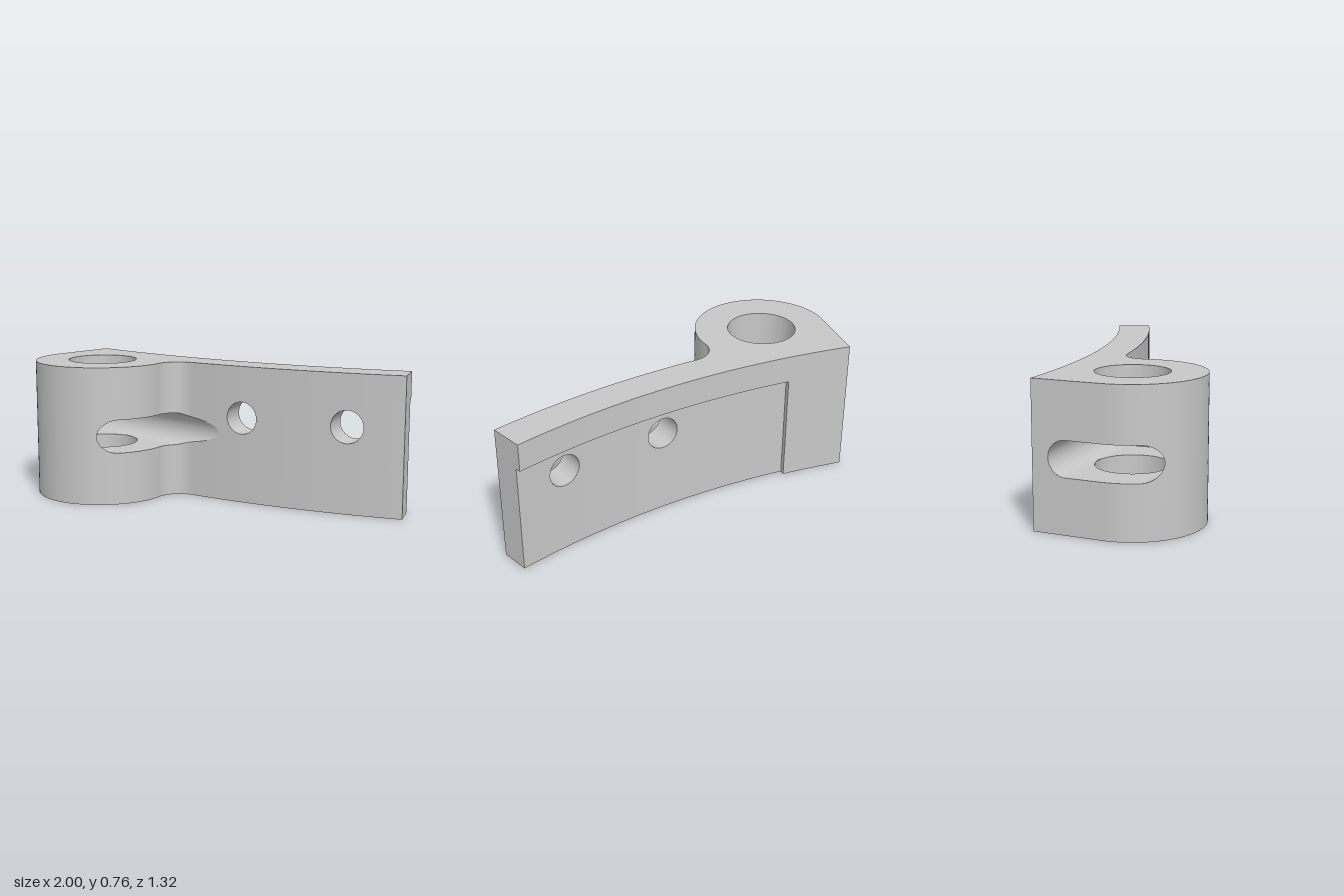
import * as THREE from 'three';
import { toCreasedNormals } from 'three/addons/utils/BufferGeometryUtils.js';

const H = 0.765, STEP = 0.612;            // full height, top of the rear recess
const BOSS = [-0.586, 0.281];             // centre of the round boss, as [x, z]
const ARM = [-1.38, -4.457];              // centre of the arm's curvature
const BACK = 4.427, RECESS = 4.457, FRONT = 4.617;
const T0 = 0.086, TS = 0.168, T1 = 0.541; // arm angles: start, recess start, tip

// Points along an arc; angles run from +x towards +z
function arc(c, r, a0, a1, n) {
  return Array.from({ length: n + 1 }, (_, i) => {
    const a = a0 + (a1 - a0) * i / n;
    return [c[0] + r * Math.cos(a), c[1] + r * Math.sin(a)];
  });
}
const armArc = (r, t0, t1, n = 32) => arc(ARM, r, Math.PI / 2 - t0, Math.PI / 2 - t1, n);

// Horizontal cutouts: centre, sideways direction v, half length of the flat part, radius, height
function makeCut(c, v, flat, r, y) {
  const samples = [];
  for (let i = 0; i <= 14; i++) samples.push(-flat - r * Math.cos(i / 14 * Math.PI / 2));
  if (flat) for (let i = 1; i < 50; i++) samples.push(-flat + 2 * flat * i / 50);
  for (let i = flat ? 0 : 1; i <= 14; i++) samples.push(flat + r * Math.sin(i / 14 * Math.PI / 2));
  const u = [v[1], -v[0]];
  return {
    c, v, u, y, samples, reach: flat + r, isSlot: flat > 0,
    off: p => (p[0] - c[0]) * v[0] + (p[1] - c[1]) * v[1],
    along: p => (p[0] - c[0]) * u[0] + (p[1] - c[1]) * u[1],
    half: o => Math.sqrt(Math.max(0, r * r - Math.max(0, Math.abs(o) - flat) ** 2)),
  };
}
const slot = makeCut(BOSS, [0.0985, 0.9951], 0.1875, 0.0925, 0.382);
const boltHoles = [[0.167, -0.113], [0.73, -0.347]].map(c => makeCut(c, [0.918, -0.397], 0, 0.09, 0.477));
const cuts = [slot, ...boltHoles];

// Triangle collector
const at = (p, y) => [p[0], y, p[1]];
const quad = (out, a, b, c, d) => out.push(...a, ...b, ...c, ...a, ...c, ...d);
function finish(out) {
  const g = new THREE.BufferGeometry();
  g.setAttribute('position', new THREE.Float32BufferAttribute(out, 3));
  return toCreasedNormals(g, 0.5);
}

// Split a path wherever a cutout changes height
function subdivide(path) {
  const result = [path[0]];
  for (let i = 1; i < path.length; i++) {
    const a = path[i - 1], b = path[i], ts = [1];
    for (const k of cuts) {
      const oa = k.off(a), ob = k.off(b);
      for (const s of k.samples) {
        const t = (s - oa) / (ob - oa);
        if (t > 1e-4 && t < 1 - 1e-4) ts.push(t);
      }
    }
    ts.sort((m, n) => m - n);
    for (const t of ts) result.push([a[0] + (b[0] - a[0]) * t, a[1] + (b[1] - a[1]) * t]);
  }
  return result;
}

// Upright wall over a path, left open where a cutout passes
function wall(out, path, y0, y1) {
  const pts = subdivide(path);
  for (let i = 1; i < pts.length; i++) {
    const a = pts[i - 1], b = pts[i], mid = [(a[0] + b[0]) / 2, (a[1] + b[1]) / 2];
    const k = cuts.find(q => Math.abs(q.off(mid)) < q.reach && q.y > y0 && q.y < y1);
    if (!k) {
      quad(out, at(a, y0), at(b, y0), at(b, y1), at(a, y1));
      continue;
    }
    const ha = k.half(k.off(a)), hb = k.half(k.off(b));
    quad(out, at(a, y0), at(b, y0), at(b, k.y - hb), at(a, k.y - ha));
    quad(out, at(a, k.y + ha), at(b, k.y + hb), at(b, y1), at(a, y1));
  }
}

// Where the line at sideways offset o crosses a closed path
function crossings(path, k, o) {
  const hits = [];
  path.forEach((a, i) => {
    const b = path[(i + 1) % path.length], da = k.off(a) - o, db = k.off(b) - o;
    if ((da <= 0) === (db <= 0)) return;
    const sa = k.along(a), sb = k.along(b);
    hits.push(sa + (sb - sa) * da / (da - db));
  });
  return hits;
}

// Inner surface of a cutout, trimmed by the outline and the bore
function lining(out, k, outline, bore) {
  const rows = k.samples.map(o => {
    const s = crossings(outline, k, o);
    if (k.isSlot) {
      const inner = crossings(bore, k, o);
      s.push(...(inner.length === 2 ? inner : [0, 0]));
    }
    return { o, h: k.half(o), s: s.sort((a, b) => a - b) };
  });
  const P = (r, s, side) => [
    k.c[0] + k.u[0] * s + k.v[0] * r.o, k.y + side * r.h, k.c[1] + k.u[1] * s + k.v[1] * r.o];
  for (let i = 1; i < rows.length; i++) {
    const a = rows[i - 1], b = rows[i];
    for (let j = 0; j + 1 < Math.min(a.s.length, b.s.length); j += 2) {
      quad(out, P(a, a.s[j], -1), P(b, b.s[j], -1), P(b, b.s[j + 1], -1), P(a, a.s[j + 1], -1));
      quad(out, P(a, a.s[j], 1), P(a, a.s[j + 1], 1), P(b, b.s[j + 1], 1), P(b, b.s[j], 1));
    }
  }
}

// Flat face with the bore left open
function cap(out, outline, bore, y, up) {
  const flat = path => path.map(p => new THREE.Vector2(p[0], -p[1]));
  const all = [...outline, ...bore];
  for (const f of THREE.ShapeUtils.triangulateShape(flat(outline), [flat(bore)])) {
    for (const i of up ? f : [f[0], f[2], f[1]]) out.push(...at(all[i], y));
  }
}

export function createModel() {
  const group = new THREE.Group();
  group.name = 'clampBracket';
  const grey = new THREE.MeshStandardMaterial({ color: 0xc8c8c8 });
  grey.name = 'grey';
  const add = (name, build) => {
    const out = [];
    build(out);
    const mesh = new THREE.Mesh(finish(out), grey);
    mesh.name = name;
    group.add(mesh);
  };

  // Plan outline: left face, boss, fillet, arm front, then back
  const corner = armArc(BACK, T0, T0, 1)[0];
  const front = [
    corner,
    ...arc(BOSS, 0.38, 3.041, -0.332, 72),
    ...arc([-0.104, 0.115], 0.13, 2.81, 4.44, 24).slice(1),
    ...armArc(FRONT, 0.2721, T1).slice(1),
  ];
  const tip = front[front.length - 1];
  const upperBack = armArc(BACK, T1, TS);
  const recessBack = armArc(RECESS, T1, TS);
  const startBack = armArc(BACK, TS, T0, 8);
  const topOutline = [...front, ...upperBack, ...startBack.slice(1, -1)];
  const lowOutline = [...front, ...recessBack, ...startBack.slice(0, -1)];
  // The bore runs opposite to the outline, so its wall faces inwards
  const bore = arc(BOSS, 0.1925, 0, Math.PI * 2, 72);
  const boreLoop = bore.slice(0, -1);

  add('sideWalls', o => {
    wall(o, front, 0, H);
    wall(o, [tip, upperBack[0]], STEP, H);
    wall(o, [tip, recessBack[0]], 0, STEP);
    wall(o, upperBack, STEP, H);
    wall(o, startBack, 0, H);
  });
  // Shallow rear recess: panel, end step and overhanging ledge
  add('rearRecess', o => {
    wall(o, recessBack, 0, STEP);
    wall(o, [recessBack[32], upperBack[32]], 0, STEP);
    for (let i = 0; i < 32; i++) {
      quad(o, at(upperBack[i], STEP), at(recessBack[i], STEP), at(recessBack[i + 1], STEP), at(upperBack[i + 1], STEP));
    }
  });
  add('topFace', o => cap(o, topOutline, boreLoop, H, true));
  add('bottomFace', o => cap(o, lowOutline, boreLoop, 0, false));
  add('boreWall', o => wall(o, bore, 0, H));
  add('slotLining', o => lining(o, slot, lowOutline, boreLoop));
  add('boltHoleLinings', o => boltHoles.forEach(k => lining(o, k, lowOutline, boreLoop)));
  return group;
}
